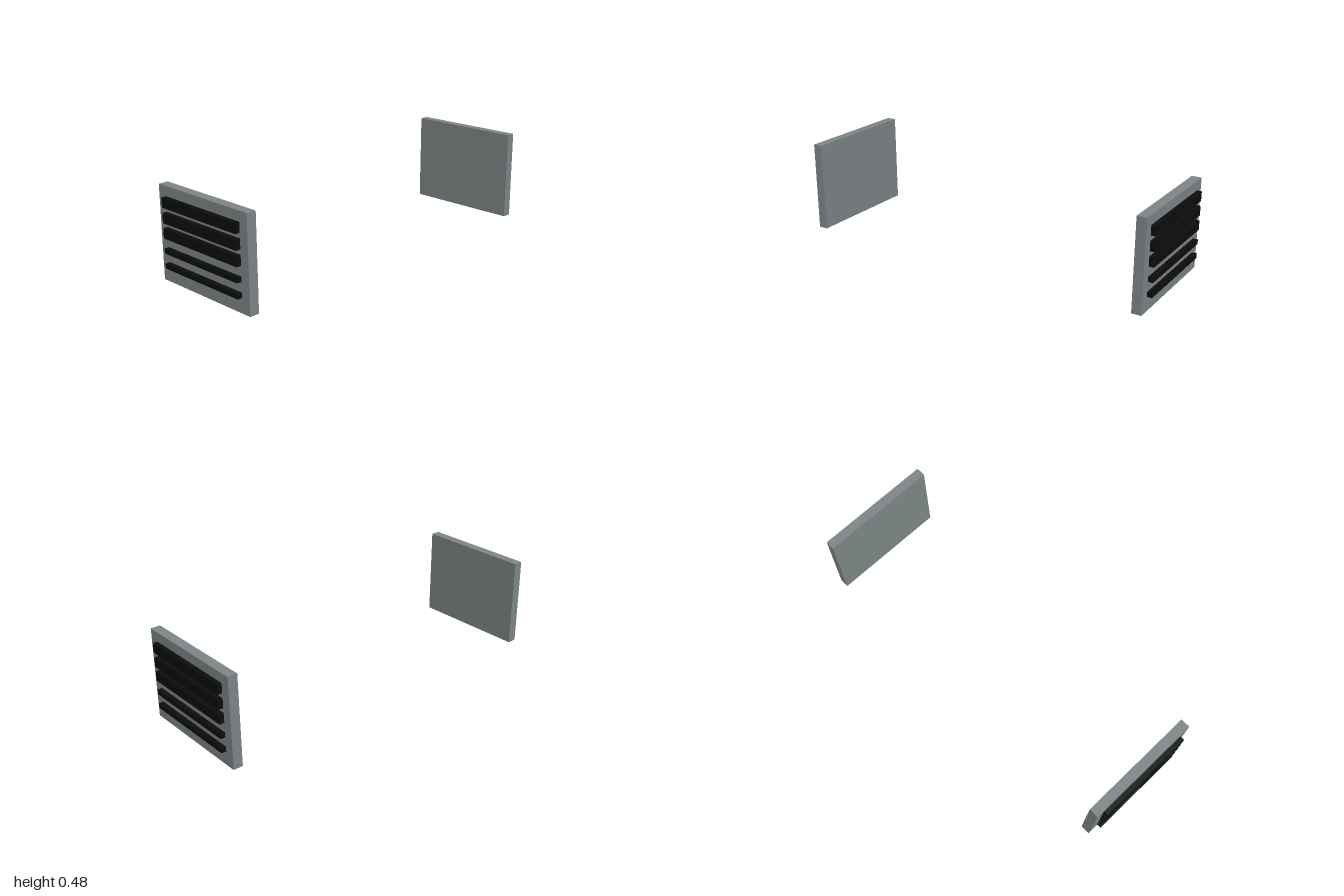
import * as THREE from 'three';

const U = 0.0251; // modular unit shared by every part

export function createModel() {
  const model = new THREE.Group();
  model.name = 'ventPanelPair';

  const grey = new THREE.MeshStandardMaterial({ color: 0x7f8788 });
  grey.name = 'panelGrey';
  const black = new THREE.MeshStandardMaterial({ color: 0x0d0d0d });
  black.name = 'slatBlack';

  // Box given in units: width, bottom, height, back z and depth
  const box = (name, material, w, y, h, z, d) => {
    const mesh = new THREE.Mesh(new THREE.BoxGeometry(w * U, h * U, d * U), material);
    mesh.name = name;
    mesh.position.set(0, (y + h / 2) * U, (z + d / 2) * U);
    return mesh;
  };

  // Slats as [bottom, height]: two thin below three thick
  const slats = [[3, 1], [6, 1], [9, 2], [12, 2], [15, 2]];
  const outer = 1 / U; // outer face of the slats

  // One vent at the front, one turned to face backwards
  for (const [name, turn] of [['frontVent', 0], ['backVent', Math.PI]]) {
    const vent = new THREE.Group();
    vent.name = name;
    vent.add(box('panel', grey, 25, 0, 19, outer - 3, 2));
    slats.forEach(([y, h], i) => {
      vent.add(box(`slat${i + 1}`, black, 21, y, h, outer - 1, 1));
    });
    vent.rotation.y = turn;
    model.add(vent);
  }
  return model;
}
